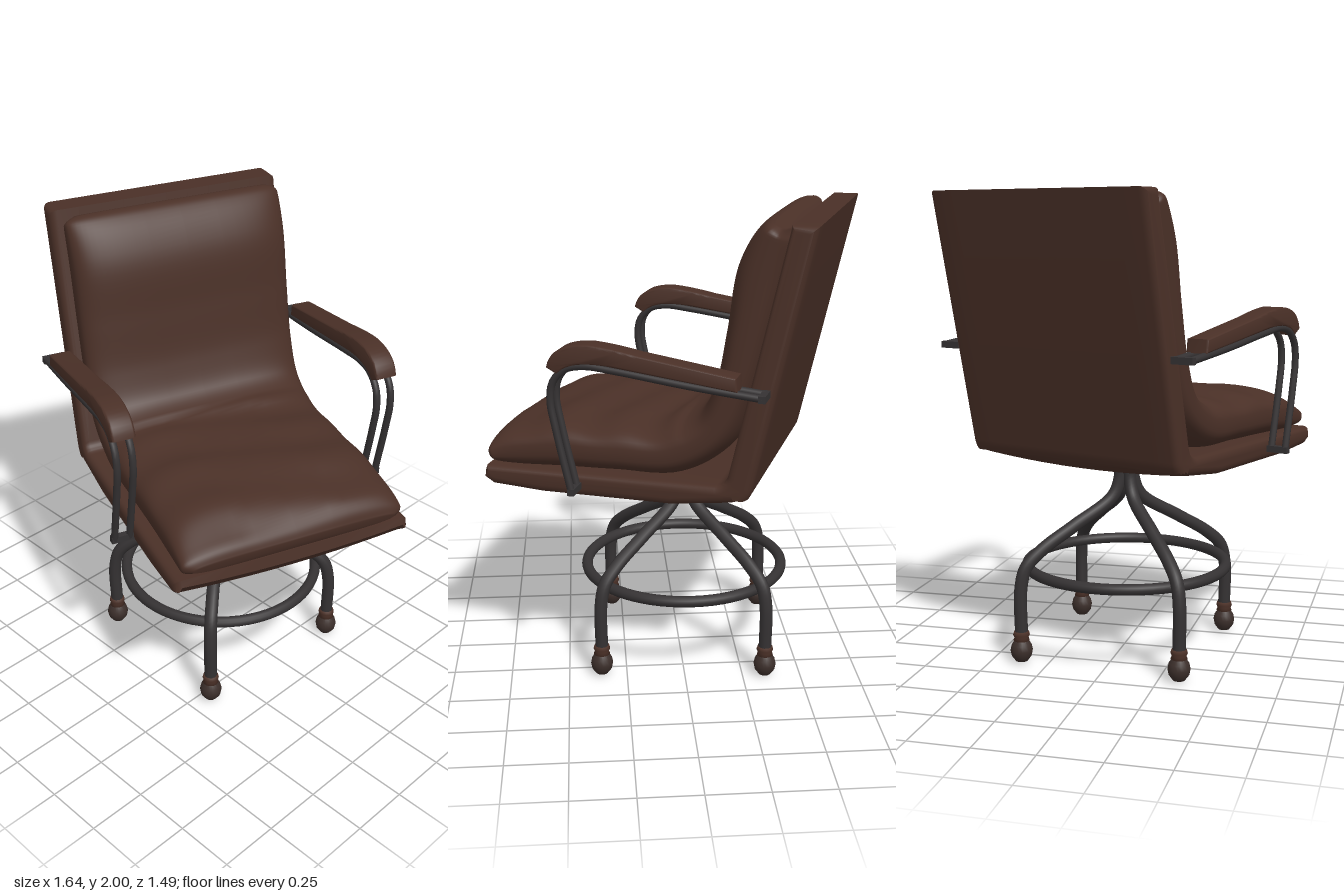
import * as THREE from 'three';
import { toCreasedNormals } from 'three/addons/utils/BufferGeometryUtils.js';

const V3 = (x, y, z) => new THREE.Vector3(x, y, z);

function addMesh(parent, name, geometry, material) {
  const m = new THREE.Mesh(geometry, material);
  m.name = name;
  parent.add(m);
  return m;
}

function tube(points, radius, segments = 40) {
  return new THREE.TubeGeometry(new THREE.CatmullRomCurve3(points), segments, radius, 10);
}

// Extrudes a side profile across the width with rounded edges
function slab(shape, width, bevel, steps = 1) {
  const g = new THREE.ExtrudeGeometry(shape, {
    depth: width - 2 * bevel, steps, bevelSize: bevel, bevelThickness: bevel,
    bevelOffset: -bevel, bevelSegments: 4, curveSegments: 10,
  });
  g.translate(0, 0, -(width - 2 * bevel) / 2);
  return g;
}

// One L-shaped pad: rounded cross-sections swept down the back and along the seat
function cushionGeometry() {
  // x, y of the spine; z holds the half thickness
  const spine = new THREE.CatmullRomCurve3([
    V3(-0.505, 1.985, 0.035), V3(-0.485, 1.95, 0.075), V3(-0.435, 1.8, 0.115),
    V3(-0.385, 1.55, 0.105), V3(-0.33, 1.32, 0.095), V3(-0.25, 1.15, 0.1),
    V3(-0.09, 1.055, 0.115), V3(0.15, 1.04, 0.112), V3(0.4, 1.035, 0.115),
    V3(0.58, 1.015, 0.1), V3(0.68, 0.995, 0.065), V3(0.715, 0.985, 0.025),
  ]);
  const rows = 90, cols = 56, pos = [], index = [];
  const power = (v, e) => Math.sign(v) * Math.abs(v) ** e;
  for (let i = 0; i <= rows; i++) {
    const t = i / rows;
    const p = spine.getPoint(t), d = spine.getTangent(t);
    const len = Math.hypot(d.x, d.y), nx = -d.y / len, ny = d.x / len;
    const end = Math.min(t, 1 - t);
    const halfWidth = 0.49 - 0.05 * Math.max(0, 1 - end / 0.09) ** 2;
    for (let j = 0; j < cols; j++) {
      const a = (j / cols) * Math.PI * 2;
      const w = halfWidth * power(Math.cos(a), 0.5);
      let h = p.z * power(Math.sin(a), 0.7);
      // soft wrinkles on the seat
      if (h > 0 && p.x > -0.15) h += 0.009 * Math.sin(p.x * 24 + 2 * Math.sin(w * 5)) * Math.sin(a) * Math.min(1, end * 8);
      pos.push(p.x + nx * h, p.y + ny * h, w);
    }
  }
  for (let i = 0; i < rows; i++) for (let j = 0; j < cols; j++) {
    const a = i * cols + j, b = i * cols + (j + 1) % cols;
    index.push(a, a + cols, b, b, a + cols, b + cols);
  }
  const first = spine.getPoint(0), last = spine.getPoint(1), c = pos.length / 3;
  pos.push(first.x, first.y, 0, last.x, last.y, 0);
  for (let j = 0; j < cols; j++) {
    const k = (j + 1) % cols;
    index.push(c, j, k, c + 1, rows * cols + k, rows * cols + j);
  }
  const g = new THREE.BufferGeometry();
  g.setAttribute('position', new THREE.Float32BufferAttribute(pos, 3));
  g.setIndex(index);
  g.computeVertexNormals();
  return g;
}

// Bent back-and-seat shell, slightly deeper along the middle of its underside
function shellGeometry() {
  const s = new THREE.Shape();
  s.moveTo(-0.67, 2);
  s.lineTo(-0.435, 0.95);
  s.quadraticCurveTo(-0.42, 0.885, -0.35, 0.865);
  s.lineTo(-0.1, 0.835);
  s.lineTo(0.45, 0.835);
  s.lineTo(0.67, 0.85);
  s.lineTo(0.71, 0.9);
  s.lineTo(0.7, 0.95);
  s.lineTo(-0.28, 0.955);
  s.quadraticCurveTo(-0.325, 0.96, -0.335, 1.0);
  s.lineTo(-0.565, 2);
  s.closePath();
  const g = slab(s, 1.05, 0.03, 10), p = g.attributes.position;
  for (let i = 0; i < p.count; i++) {
    const y = p.getY(i), w = p.getZ(i) / 0.525;
    if (y < 0.9) p.setY(i, y + 0.025 * w * w);
  }
  return toCreasedNormals(g, 0.7);
}

function armrest(metal, leather) {
  const arm = new THREE.Group();
  arm.name = 'armrest';
  // paired rails, joined at both ends
  for (const z of [-0.033, 0.033]) {
    addMesh(arm, 'armRail', tube([
      V3(-0.49, 1.36, z), V3(-0.2, 1.39, z), V3(0.1, 1.428, z), V3(0.22, 1.438, z), V3(0.3, 1.42, z),
      V3(0.352, 1.365, z), V3(0.365, 1.29, z), V3(0.345, 1.17, z), V3(0.285, 0.905, z),
    ], 0.015, 60), metal);
  }
  for (const [x, y] of [[-0.49, 1.36], [0.285, 0.91]]) {
    addMesh(arm, 'armCrossbar', new THREE.BoxGeometry(0.028, 0.028, 0.095), metal).position.set(x, y, 0);
  }
  // curved pad over the rails
  const s = new THREE.Shape();
  s.moveTo(-0.395, 1.38);
  s.lineTo(0.1, 1.442);
  s.quadraticCurveTo(0.27, 1.465, 0.33, 1.4);
  s.lineTo(0.375, 1.425);
  s.quadraticCurveTo(0.355, 1.525, 0.2, 1.525);
  s.quadraticCurveTo(0.12, 1.52, 0.0, 1.495);
  s.lineTo(-0.39, 1.435);
  s.closePath();
  addMesh(arm, 'armPad', toCreasedNormals(slab(s, 0.098, 0.01), 0.7), leather);
  return arm;
}

export function createModel() {
  const leather = new THREE.MeshStandardMaterial({ color: 0x4a3027 });
  leather.name = 'brown leather';
  const metal = new THREE.MeshStandardMaterial({ color: 0x353233 });
  metal.name = 'dark metal';
  const footDark = new THREE.MeshStandardMaterial({ color: 0x3c2f2b });
  footDark.name = 'dark foot';

  const model = new THREE.Group();
  model.name = 'swivelChair';

  // upper chair, turned on its base
  const upper = new THREE.Group();
  upper.name = 'seatAssembly';
  upper.rotation.y = THREE.MathUtils.degToRad(-20);
  upper.position.set(-0.009, 0, 0.023);
  model.add(upper);
  addMesh(upper, 'shell', shellGeometry(), leather);
  addMesh(upper, 'cushion', cushionGeometry(), leather);
  for (const side of [-1, 1]) {
    const arm = armrest(metal, leather);
    arm.position.z = side * 0.58;
    upper.add(arm);
  }

  // base of four bent legs
  const base = new THREE.Group();
  base.name = 'base';
  base.position.set(-0.025, 0, 0.015);
  model.add(base);
  const legGeo = tube([
    V3(0.033, 0.86, 0), V3(0.033, 0.77, 0), V3(0.07, 0.69, 0), V3(0.25, 0.58, 0),
    V3(0.4, 0.49, 0), V3(0.475, 0.42, 0), V3(0.5, 0.33, 0), V3(0.5, 0.13, 0),
  ], 0.028, 60);
  const footGeo = new THREE.LatheGeometry([
    [0, 0.005], [0.026, 0.012], [0.043, 0.035], [0.048, 0.06], [0.043, 0.083], [0.03, 0.103], [0.024, 0.11],
  ].map(([r, y]) => new THREE.Vector2(r, y)), 20);
  const collarGeo = new THREE.LatheGeometry([
    [0.022, 0.095], [0.035, 0.103], [0.03, 0.115], [0.036, 0.128], [0.032, 0.142], [0, 0.145],
  ].map(([r, y]) => new THREE.Vector2(r, y)), 20);
  for (let i = 0; i < 4; i++) {
    const leg = new THREE.Group();
    leg.name = 'leg';
    leg.rotation.y = -THREE.MathUtils.degToRad(50 + 90 * i);
    addMesh(leg, 'legTube', legGeo, metal);
    addMesh(leg, 'foot', footGeo, footDark).position.x = 0.5;
    addMesh(leg, 'footCollar', collarGeo, leather).position.x = 0.5;
    base.add(leg);
  }
  const ring = addMesh(base, 'footRing', new THREE.TorusGeometry(0.437, 0.024, 12, 64), metal);
  ring.rotation.x = Math.PI / 2;
  ring.position.y = 0.39;

  return model;
}
